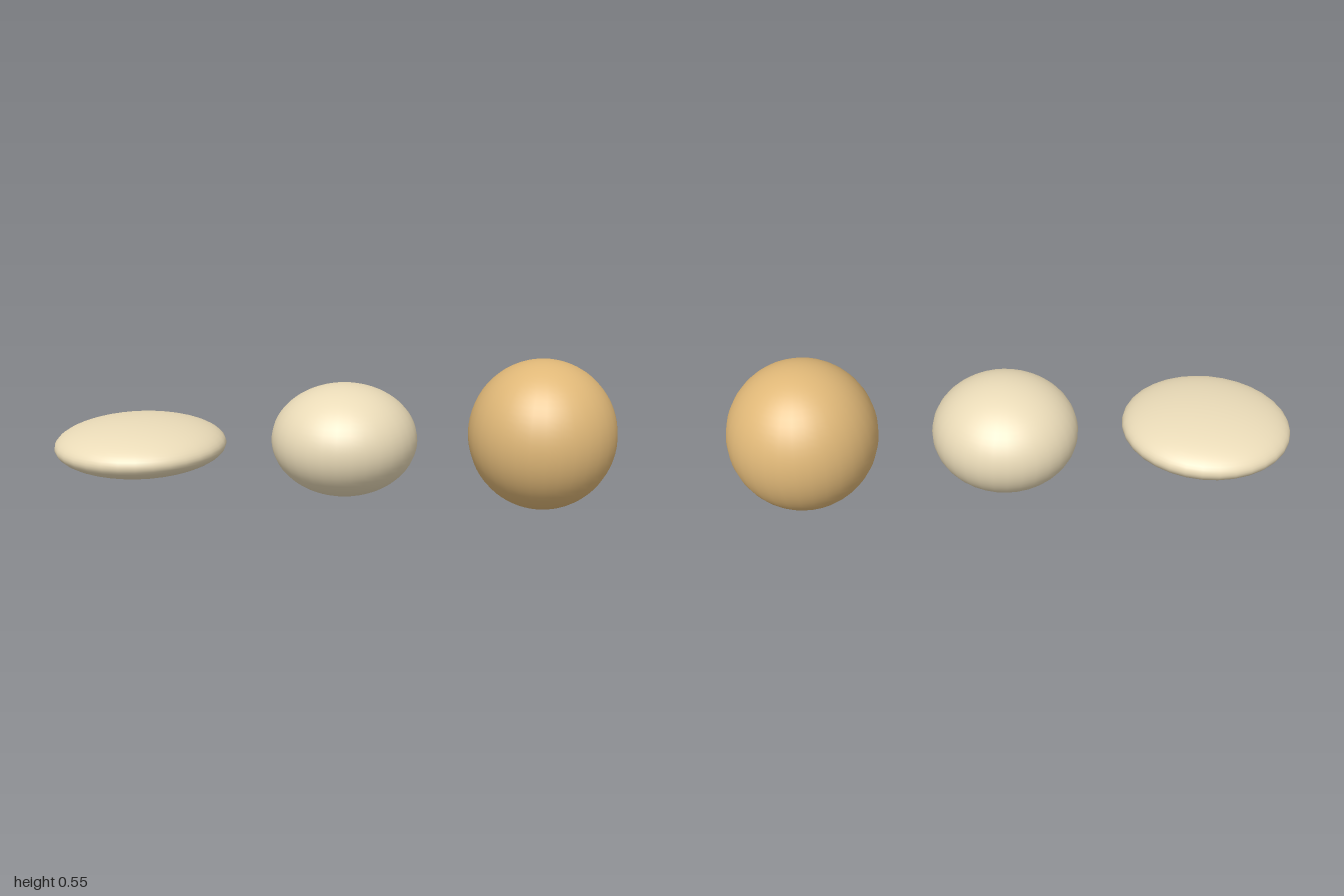
import * as THREE from 'three';

// Three smooth spheroids in a row, from flattened disc to nearly round ball
const CREAM = 0xeadbb8;
const TAN = 0xe0b878;
const CENTRE_Y = 0.2755;

const BODIES = [
  { name: 'flatSpheroid', x: -0.702, radius: 0.298, halfHeight: 0.091, color: CREAM },
  { name: 'oblateSpheroid', x: 0.0135, radius: 0.259, halfHeight: 0.198, color: CREAM },
  { name: 'roundSpheroid', x: 0.729, radius: 0.2665, halfHeight: 0.2725, color: TAN },
];

// Scaling is baked into the geometry so the normals stay correct
function spheroid({ name, x, radius, halfHeight, color }) {
  const geometry = new THREE.SphereGeometry(1, 32, 32);
  geometry.scale(radius, halfHeight, radius);
  const mesh = new THREE.Mesh(geometry, new THREE.MeshStandardMaterial({ color }));
  mesh.name = name;
  mesh.position.set(x, CENTRE_Y, 0);
  return mesh;
}

export function createModel() {
  const group = new THREE.Group();
  group.name = 'spheroidRow';
  for (const body of BODIES) group.add(spheroid(body));
  return group;
}
